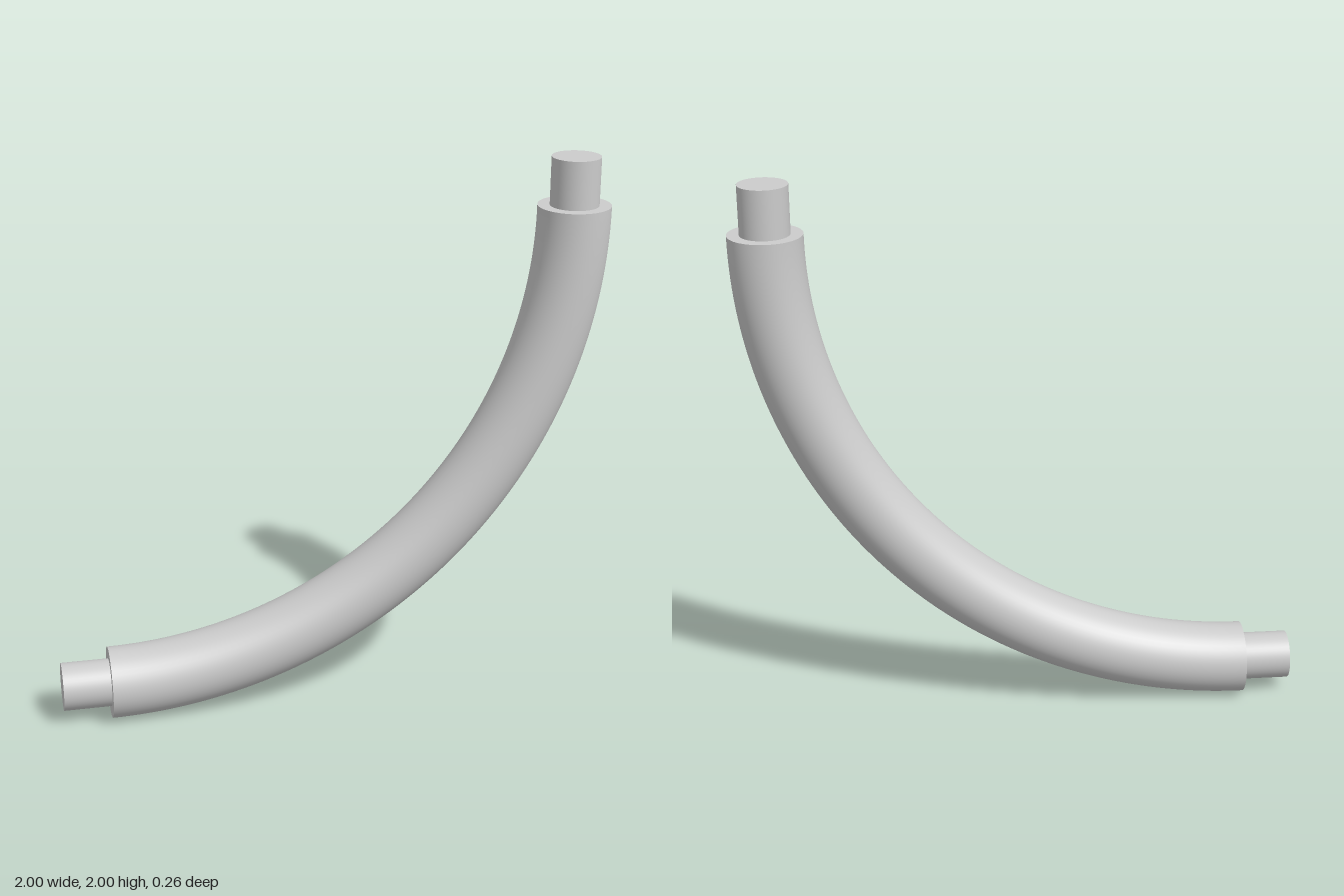
import * as THREE from 'three';

export function createModel() {
  const model = new THREE.Group();
  model.name = 'curvedPipe';
  const material = new THREE.MeshStandardMaterial({ color: 0xcccccc });
  const bend = 1.697, radius = 0.13, pegRadius = 0.087, pegLength = 0.173;
  const centre = new THREE.Vector3(-0.827, radius + bend, 0);

  function add(name, geometry, parent = model) {
    const mesh = new THREE.Mesh(geometry, material);
    mesh.name = name;
    parent.add(mesh);
    return mesh;
  }

  // Quarter-circle pipe sweeping from the low end to the high end
  const pipe = add('pipe', new THREE.TorusGeometry(bend, radius, 48, 96, Math.PI / 2));
  pipe.rotation.z = -Math.PI / 2;
  pipe.position.copy(centre);

  // Each end: flat shoulder and a narrower solid peg, built pointing up
  function addEnd(name, x, y, turn) {
    const end = new THREE.Group();
    end.name = name;
    const shoulder = add('shoulder', new THREE.RingGeometry(pegRadius, radius, 48), end);
    shoulder.rotation.x = -Math.PI / 2;
    const peg = add('peg', new THREE.CylinderGeometry(pegRadius, pegRadius, pegLength, 48), end);
    peg.position.y = pegLength / 2;
    end.position.set(x, y, 0);
    end.rotation.z = turn;
    model.add(end);
  }
  addEnd('upperEnd', centre.x + bend, centre.y, 0);
  addEnd('lowerEnd', centre.x, centre.y - bend, Math.PI / 2);

  return model;
}
